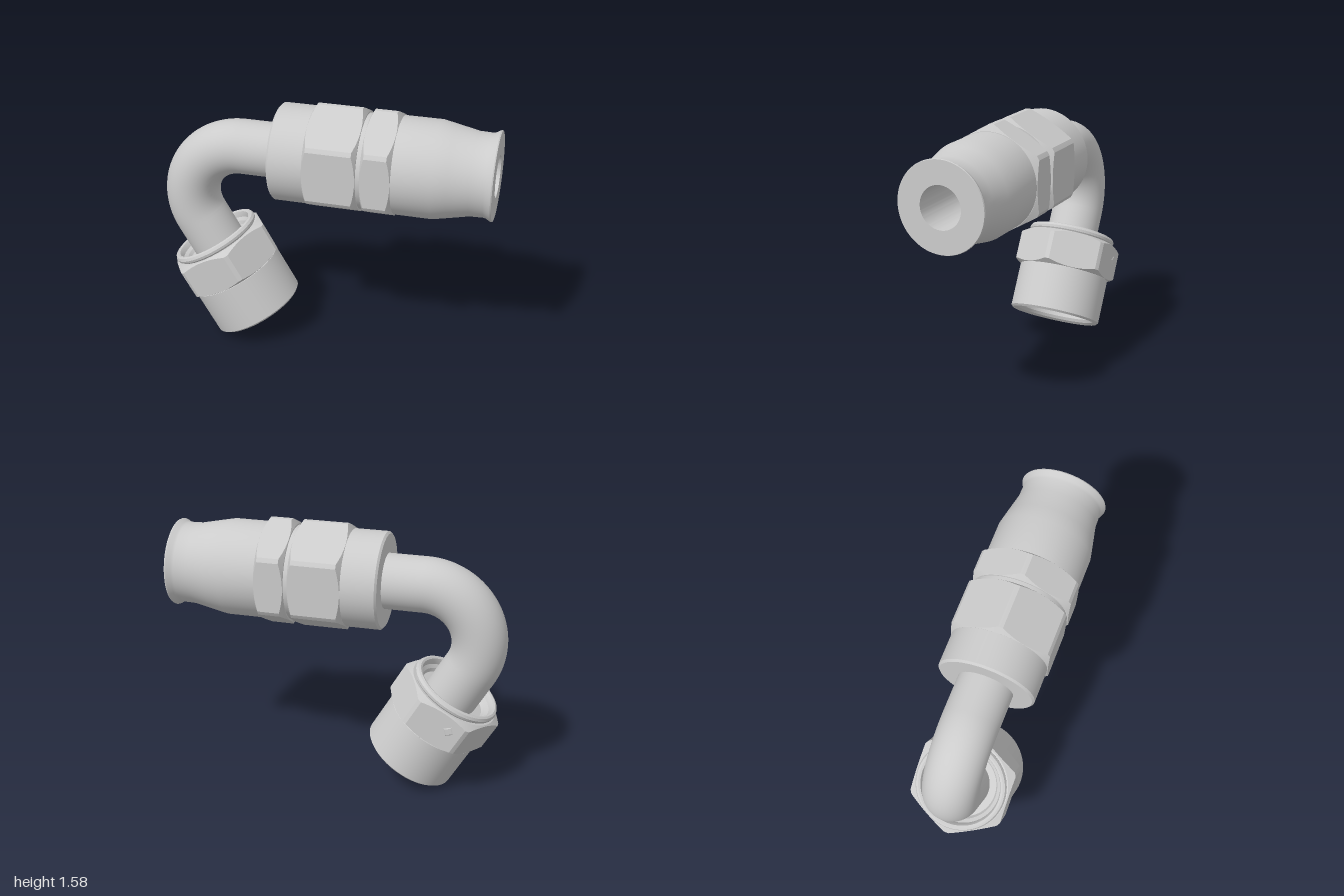
import * as THREE from 'three';
import { toCreasedNormals } from 'three/addons/utils/BufferGeometryUtils.js';

const material = new THREE.MeshStandardMaterial({ color: 0xcccccc });
const doubleSided = new THREE.MeshStandardMaterial({ color: 0xcccccc, side: THREE.DoubleSide });

function addMesh(parent, name, geometry, mat = material) {
  const mesh = new THREE.Mesh(geometry, mat);
  mesh.name = name;
  parent.add(mesh);
  return mesh;
}

// Turned part from [radius, height] pairs, with crisp edges
function turned(profile) {
  const points = profile.map(([r, y]) => new THREE.Vector2(r, y));
  return toCreasedNormals(new THREE.LatheGeometry(points, 96), 0.3);
}

// Hexagonal band along y: corners trimmed to a cylinder, both ends chamfered by a cone
function hexBand(y0, y1, endRadius) {
  const apothem = 0.29, corner = 0.327, inner = 0.24, slope = 0.58, steps = 144;
  const positions = [], index = [];
  for (let i = 0; i <= steps; i++) {
    const a = (i / steps) * Math.PI * 2;
    const fromFlat = ((i % 24) - 12) * (Math.PI * 2 / steps);
    const r = Math.min(apothem / Math.cos(fromFlat), corner);
    const rEnd = Math.min(r, endRadius);
    const cut = (r - rEnd) * slope;
    const section = [[inner, y0], [rEnd, y0], [r, y0 + cut], [r, y1 - cut], [rEnd, y1], [inner, y1]];
    for (const [rad, y] of section) positions.push(rad * Math.cos(a), y, -rad * Math.sin(a));
    if (i === steps) break;
    for (let j = 0; j < 5; j++) {
      const p = i * 6 + j, q = p + 6;
      index.push(p, q, p + 1, q, q + 1, p + 1);
    }
  }
  const g = new THREE.BufferGeometry();
  g.setAttribute('position', new THREE.Float32BufferAttribute(positions, 3));
  g.setIndex(index);
  return toCreasedNormals(g, 0.3);
}

export function createModel() {
  const model = new THREE.Group();
  model.name = 'angledHoseFitting';

  // Straight hose socket, its axis turned from y to x
  const socket = new THREE.Group();
  socket.name = 'hoseSocket';
  socket.position.y = 1.26;
  socket.rotation.z = -Math.PI / 2;
  model.add(socket);
  addMesh(socket, 'socketBody', turned([
    [0, -0.28], [0.275, -0.28], [0.287, -0.268], [0.287, -0.06], [0.28, -0.05],
    [0.28, 0.43], [0.286, 0.44], [0.286, 0.66], [0.268, 0.75], [0.243, 0.87],
    [0.241, 0.95], [0.245, 0.965], [0.257, 0.985], [0.26, 0.993], [0.257, 1],
    [0.122, 1], [0.122, -0.2], [0, -0.2],
  ]));
  addMesh(socket, 'largeHex', hexBand(-0.07, 0.24, 0.288));
  addMesh(socket, 'smallHex', hexBand(0.265, 0.44, 0.288));

  // Bent tube: straight, 120 degree bend, straight into the nut
  const bend = new THREE.Vector3(-0.505, 0.93, 0);
  const arc = [];
  for (let i = 0; i <= 32; i++) {
    const a = THREE.MathUtils.degToRad(90 + (120 * i) / 32);
    arc.push(new THREE.Vector3(Math.cos(a), Math.sin(a), 0).multiplyScalar(0.33).add(bend));
  }
  const bendEnd = arc[arc.length - 1];
  const path = new THREE.CurvePath();
  path.add(new THREE.LineCurve3(new THREE.Vector3(-0.25, 1.26, 0), arc[0]));
  path.add(new THREE.CatmullRomCurve3(arc));
  path.add(new THREE.LineCurve3(bendEnd, bendEnd.clone().add(new THREE.Vector3(0.125, -0.2165, 0))));
  addMesh(model, 'bentTube', new THREE.TubeGeometry(path, 100, 0.163, 48), doubleSided);

  // Swivel nut, open end at its local origin
  const nut = new THREE.Group();
  nut.name = 'swivelNut';
  nut.position.set(-0.44, 0.148, 0);
  nut.rotation.z = Math.PI / 6;
  model.add(nut);
  addMesh(nut, 'nutBody', turned([
    [0.237, 0.03], [0.25, 0.012], [0.275, 0], [0.288, 0.012], [0.288, 0.29], [0.27, 0.31],
    [0.265, 0.52], [0.275, 0.53], [0.278, 0.545], [0.27, 0.56], [0.257, 0.565],
    [0.244, 0.56], [0.238, 0.545], [0.235, 0.525], [0.215, 0.51], [0.205, 0.49],
    [0.11, 0.49], [0.11, 0.44], [0.19, 0.38], [0.25, 0.38], [0.25, 0.345],
    [0.237, 0.345], [0.237, 0.03],
  ]));
  addMesh(nut, 'nutHex', hexBand(0.29, 0.52, 0.282));

  // Small diamond mark on the rear flat
  const mark = addMesh(nut, 'diamondMark',
    toCreasedNormals(new THREE.CylinderGeometry(0.025, 0.036, 0.004, 4), 0.1));
  mark.rotation.x = -Math.PI / 2;
  mark.position.set(-0.075, 0.43, -0.291);

  return model;
}
